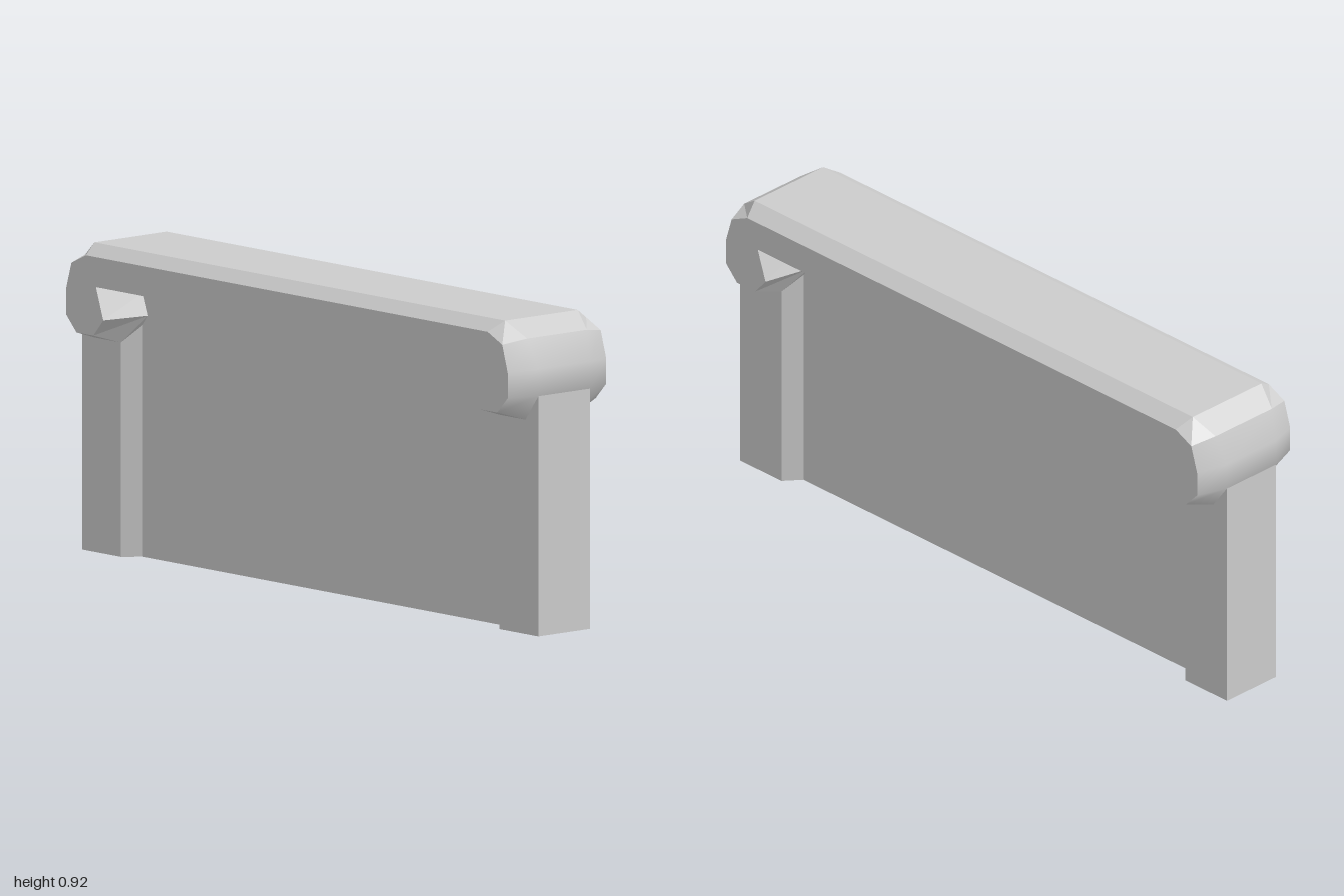
import * as THREE from 'three';

// Half outlines of the coping (right side, from the inner hook round to the top): [x, y, z]
const FACE = [
  [0.837, 0.802, 0.19], [0.805, 0.708, 0.19], [0.848, 0.658, 0.19], [0.922, 0.658, 0.19],
  [0.968, 0.706, 0.19], [0.968, 0.78, 0.19], [0.944, 0.86, 0.19], [0.88, 0.89, 0.19],
];
const BODY = [
  [0.79, 0.775, 0.05], [0.767, 0.711, 0.05], [0.83, 0.63, 0.1], [0.944, 0.63, 0.1],
  [1, 0.706, 0.1], [1, 0.786, 0.1], [0.968, 0.873, 0.115], [0.9, 0.92, 0.14],
];
const ROUNDED = [3, 4, 5, 9, 10, 11]; // segments forming the smooth ends

// Mirror a half outline into a closed ring, on the front (1) or back (-1)
function ring(half, side) {
  const left = half.map(([x, y, z]) => [-x, y, z]).reverse();
  return [...half, ...left].map(([x, y, z]) => new THREE.Vector3(x, y, z * side));
}

function copingGeometry(rounded) {
  const rings = [ring(FACE, 1), ring(BODY, 1), ring(BODY, -1), ring(FACE, -1)];
  const n = rings[0].length;
  const index = [];
  for (let r = 0; r < 3; r++) {
    for (let i = 0; i < n; i++) {
      if (ROUNDED.includes(i) !== rounded) continue;
      const j = (i + 1) % n;
      const a = r * n + i, b = a + n, c = (r + 1) * n + j, d = r * n + j;
      index.push(a, b, c, a, c, d);
    }
  }
  // Flat front and back faces
  if (!rounded) {
    const outline = rings[0].map((p) => new THREE.Vector2(p.x, p.y));
    for (const [a, b, c] of THREE.ShapeUtils.triangulateShape(outline, [])) {
      index.push(a, b, c, 3 * n + a, 3 * n + c, 3 * n + b);
    }
  }
  let geometry = new THREE.BufferGeometry().setFromPoints(rings.flat());
  geometry.setIndex(index);
  if (!rounded) geometry = geometry.toNonIndexed();
  geometry.computeVertexNormals();
  return geometry;
}

export function createModel() {
  const model = new THREE.Group();
  model.name = 'copedWall';
  const stone = new THREE.MeshStandardMaterial({ color: 0xcccccc });
  stone.name = 'stone grey';

  const add = (name, geometry) => {
    const mesh = new THREE.Mesh(geometry, stone);
    mesh.name = name;
    model.add(mesh);
    return mesh;
  };

  // Recessed wall with a thicker, splayed post at each end
  const quarter = [[1, 0.1], [0.83, 0.1], [0.79, 0.05]];
  const back = quarter.map(([x, z]) => [x, -z]).reverse();
  const right = [...back, ...quarter];
  const left = right.map(([x, z]) => [-x, -z]);
  const plan = new THREE.Shape([...right, ...left].map(([x, z]) => new THREE.Vector2(x, z)));
  const wall = new THREE.ExtrudeGeometry(plan, { depth: 0.706, bevelEnabled: false });
  wall.rotateX(-Math.PI / 2);
  add('wallWithPosts', wall);

  // Upper strip of wall running up into the coping
  add('wallTop', new THREE.BoxGeometry(1.58, 0.144, 0.1)).position.y = 0.778;

  // Chamfered coping with hooked ends
  add('coping', copingGeometry(false));
  add('copingEnds', copingGeometry(true));

  return model;
}
